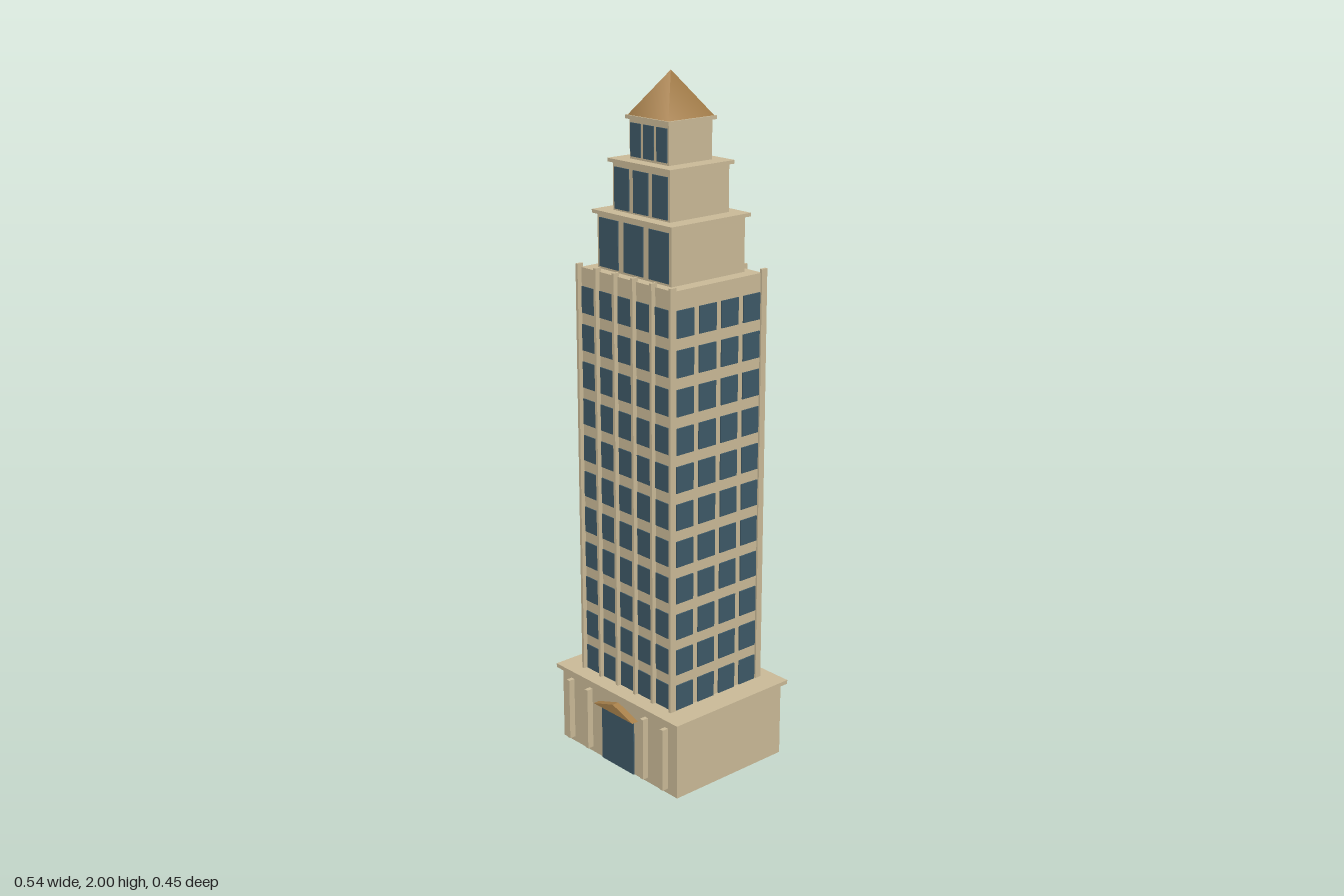
import * as THREE from 'three';

export function createModel() {
  const stone = new THREE.MeshStandardMaterial({ color: 0xc8b896 });
  stone.name = 'stone';
  const glass = new THREE.MeshStandardMaterial({ color: 0x3d5866 });
  glass.name = 'glass';
  const bronze = new THREE.MeshStandardMaterial({ color: 0xa67f4a });
  bronze.name = 'bronze';

  const model = new THREE.Group();
  model.name = 'tower';
  const building = new THREE.Group();
  building.name = 'building';
  building.position.z = -0.0025; // the entrance gable reaches furthest forward
  model.add(building);

  function add(name, geometry, material, x, y, z) {
    const mesh = new THREE.Mesh(geometry, material);
    mesh.name = name;
    mesh.position.set(x, y, z);
    building.add(mesh);
    return mesh;
  }
  // Box given by half width, bottom, top and half depth, centred on the tower axis
  function block(name, hx, y0, y1, hz) {
    add(name, new THREE.BoxGeometry(hx * 2, y1 - y0, hz * 2), stone, 0, (y0 + y1) / 2, 0);
  }

  // Base with cornice
  block('base', 0.255, 0, 0.225, 0.204);
  block('baseCornice', 0.269, 0.225, 0.237, 0.2175);

  // Pilasters on the front and back of the base
  const pilaster = new THREE.BoxGeometry(0.013, 0.19, 0.03);
  for (const side of [-1, 1])
    for (const x of [-0.209, -0.124, 0.124, 0.209])
      add('pilaster', pilaster, stone, x, 0.11, side * 0.2085);

  // Entrance: door plate under a shallow gable
  add('door', new THREE.BoxGeometry(0.14, 0.177, 0.008), glass, 0, 0.0885, 0.204);
  const gable = new THREE.Shape();
  gable.moveTo(-0.087, 0);
  gable.lineTo(0.087, 0);
  gable.lineTo(0, 0.028);
  gable.closePath();
  add('entranceGable', new THREE.ExtrudeGeometry(gable, { depth: 0.024, bevelEnabled: false }),
    bronze, 0, 0.177, 0.2015);

  // Main shaft
  block('shaft', 0.192, 0.237, 1.456, 0.163);

  // Window grid on all four faces of the shaft
  const frontPane = new THREE.BoxGeometry(0.065, 0.076, 0.008);
  const sidePane = new THREE.BoxGeometry(0.008, 0.076, 0.062);
  for (let row = 0; row < 11; row++) {
    const y = 0.275 + row * 0.109;
    for (const side of [-1, 1]) {
      for (let i = -2; i <= 2; i++) add('frontWindow', frontPane, glass, i * 0.077, y, side * 0.162);
      for (let i = -1.5; i <= 1.5; i++) add('sideWindow', sidePane, glass, side * 0.192, y, i * 0.0815);
    }
  }

  // Vertical fins between the front and back windows
  const fin = new THREE.BoxGeometry(0.009, 1.23, 0.02);
  for (const side of [-1, 1])
    for (let i = -2.5; i <= 2.5; i++) add('fin', fin, stone, i * 0.0772, 0.852, side * 0.167);

  // Stepped crown: each tier has a cornice and three windows front and back
  const tiers = [
    { hx: 0.152, hz: 0.1335, y0: 1.456, y1: 1.61, cx: 0.1635, cz: 0.144, pitch: 0.103, w: 0.079, w0: 1.463, w1: 1.6 },
    { hx: 0.116, hz: 0.107, y0: 1.62, y1: 1.752, cx: 0.127, cz: 0.1165, pitch: 0.078, w: 0.06, w0: 1.625, w1: 1.74 },
    { hx: 0.079, hz: 0.078, y0: 1.762, y1: 1.87, cx: 0.088, cz: 0.087, pitch: 0.053, w: 0.041, w0: 1.769, w1: 1.86 },
  ];
  for (const t of tiers) {
    block('crownTier', t.hx, t.y0, t.y1, t.hz);
    block('tierCornice', t.cx, t.y1, t.y1 + 0.01, t.cz);
    const pane = new THREE.BoxGeometry(t.w, t.w1 - t.w0, 0.008);
    for (const side of [-1, 1])
      for (let i = -1; i <= 1; i++)
        add('crownWindow', pane, glass, i * t.pitch, (t.w0 + t.w1) / 2, side * (t.hz - 0.001));
  }

  // Pyramid roof
  const roof = add('roof', new THREE.ConeGeometry(0.082 * Math.SQRT2, 0.12, 4), bronze, 0, 1.94, 0);
  roof.rotation.y = Math.PI / 4;

  return model;
}
